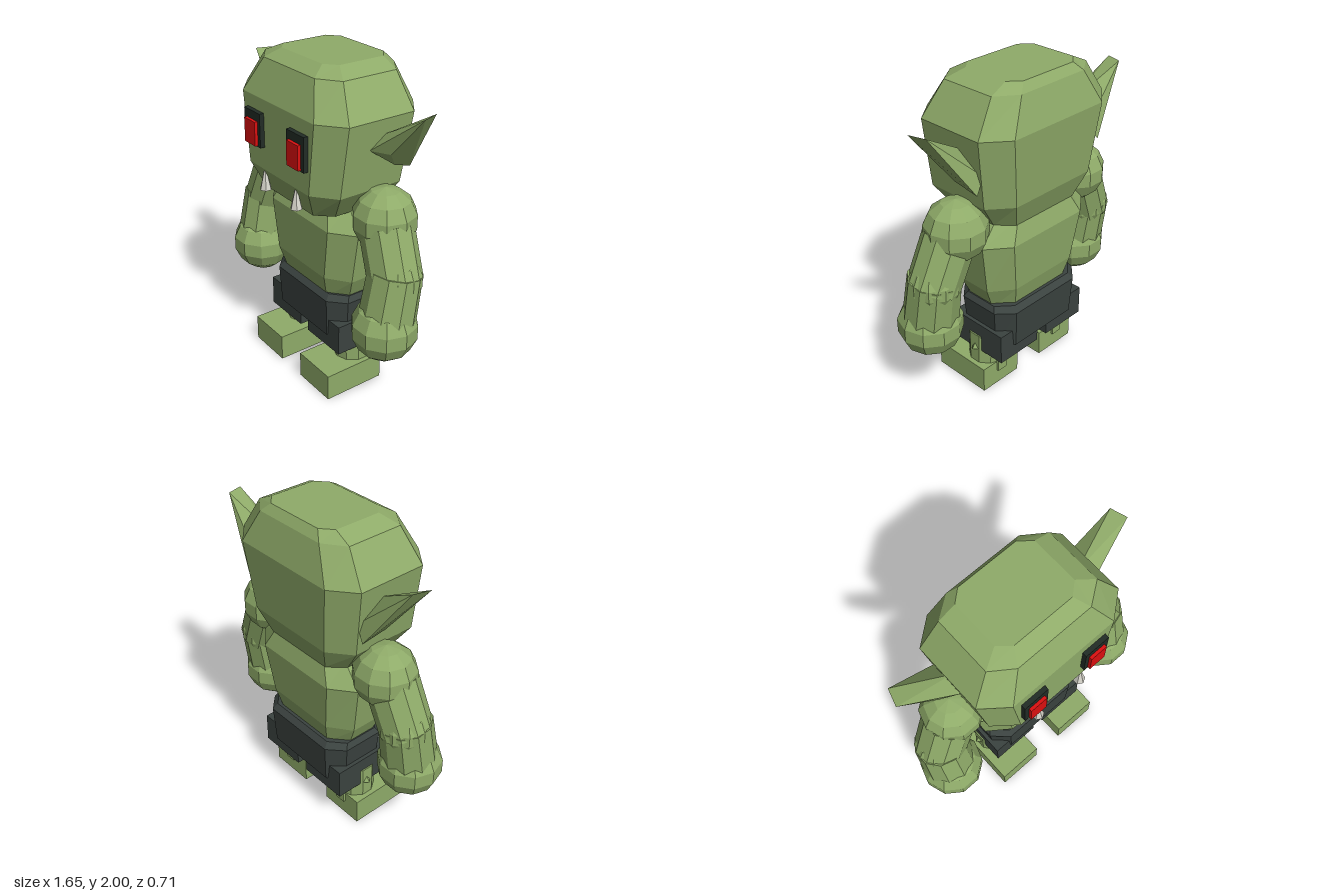
import * as THREE from 'three';
import { ConvexGeometry } from 'three/addons/geometries/ConvexGeometry.js';

const mat = (name, color, flatShading = true) => {
  const m = new THREE.MeshStandardMaterial({ color, flatShading });
  m.name = name;
  return m;
};

// Eight-sided cross-section: half width, front flat half, front z, back z, corner cut in z
const ring = ([y, hx, fx, zf, zb, cut]) => [
  [-fx, y, zf], [fx, y, zf], [hx, y, zf - cut], [hx, y, zb + cut],
  [fx, y, zb], [-fx, y, zb], [-hx, y, zb + cut], [-hx, y, zf - cut],
];

// Joins rings from bottom to top and caps both ends
function loft(sections) {
  const rings = sections.map(ring);
  const pos = rings.flat(2);
  const index = [];
  const last = (rings.length - 1) * 8;
  for (let r = 0; r < last; r += 8) {
    for (let i = 0; i < 8; i++) {
      const j = (i + 1) % 8;
      index.push(r + i, r + j, r + 8 + j, r + i, r + 8 + j, r + 8 + i);
    }
  }
  for (let i = 1; i < 7; i++) {
    index.push(0, i + 1, i);
    index.push(last, last + i, last + i + 1);
  }
  const g = new THREE.BufferGeometry();
  g.setAttribute('position', new THREE.Float32BufferAttribute(pos, 3));
  g.setIndex(index);
  const flat = g.toNonIndexed();
  flat.computeVertexNormals();
  return flat;
}

export function createModel() {
  const root = new THREE.Group();
  root.name = 'goblin';
  const skin = mat('green skin', 0x8fab69);
  const cloth = mat('dark cloth', 0x3b4340);
  const socket = mat('eye socket', 0x222c26);
  const red = mat('red eye', 0xdc1010);
  const ivory = mat('tusk ivory', 0xd8d6cc);

  const add = (name, geometry, material, x = 0, y = 0, z = 0) => {
    const m = new THREE.Mesh(geometry, material);
    m.name = name;
    m.position.set(x, y, z);
    root.add(m);
    return m;
  };
  const box = (name, material, x0, x1, y0, y1, z0, z1) =>
    add(name, new THREE.BoxGeometry(x1 - x0, y1 - y0, z1 - z0), material,
      (x0 + x1) / 2, (y0 + y1) / 2, (z0 + z1) / 2);
  // Ten-sided limb running between two points
  const limb = (name, a, b, ra, rb) => {
    const p = new THREE.Vector3(...a), q = new THREE.Vector3(...b);
    const d = q.clone().sub(p);
    const m = add(name, new THREE.CylinderGeometry(rb, ra, d.length(), 10), skin);
    m.position.copy(p).add(q).multiplyScalar(0.5);
    m.quaternion.setFromUnitVectors(new THREE.Vector3(0, 1, 0), d.normalize());
  };

  // Head, torso and waist
  add('head', loft([
    [1.17, 0.32, 0.235, 0.24, -0.26, 0.09],
    [1.33, 0.43, 0.295, 0.31, -0.32, 0.11],
    [1.75, 0.49, 0.345, 0.31, -0.355, 0.117],
    [1.95, 0.365, 0.24, 0.23, -0.3, 0.09],
    [2.0, 0.26, 0.19, 0.145, -0.265, 0.06],
  ]), skin);
  add('torso', loft([
    [0.58, 0.3, 0.2, 0.12, -0.22, 0.09],
    [0.74, 0.37, 0.235, 0.165, -0.26, 0.1],
    [1.06, 0.42, 0.28, 0.175, -0.29, 0.11],
    [1.2, 0.3, 0.21, 0.12, -0.25, 0.08],
  ]), skin);
  add('shortsWaist', loft([
    [0.34, 0.32, 0.24, 0.15, -0.265, 0.09],
    [0.585, 0.345, 0.25, 0.16, -0.28, 0.09],
    [0.62, 0.325, 0.235, 0.13, -0.25, 0.08],
  ]), cloth);

  for (const s of [-1, 1]) {
    const side = s > 0 ? 'left' : 'right';
    const sideBox = (name, m, x0, x1, ...rest) =>
      box(side + name, m, Math.min(s * x0, s * x1), Math.max(s * x0, s * x1), ...rest);

    // Eyes and tusks
    sideBox('EyeSocket', socket, 0.132, 0.292, 1.468, 1.67, 0.3, 0.338);
    sideBox('Eye', red, 0.157, 0.265, 1.476, 1.62, 0.33, 0.357);
    add(side + 'Tusk', new THREE.CylinderGeometry(0.008, 0.036, 0.115, 6), ivory,
      s * 0.157, 1.255, 0.297);

    // Ear, a curved wedge sweeping up to a blunt tip
    const ear = [
      [0.78, 1.83, -0.05], [0.75, 1.83, -0.15], [0.44, 1.64, -0.06], [0.46, 1.58, 0.035],
      [0.57, 1.58, -0.02], [0.52, 1.49, -0.09], [0.49, 1.44, -0.225], [0.42, 1.52, -0.2],
    ].map(([x, y, z]) => new THREE.Vector3(s * x, y, z));
    add(side + 'Ear', new ConvexGeometry(ear), skin);

    // Arm
    const ball = (r) => new THREE.SphereGeometry(r, 10, 7);
    add(side + 'Shoulder', ball(0.188), skin, s * 0.495, 1.175, -0.055);
    limb(side + 'UpperArm', [s * 0.65, 0.85, -0.02], [s * 0.53, 1.14, -0.04], 0.155, 0.155);
    limb(side + 'Forearm', [s * 0.64, 0.57, 0.035], [s * 0.64, 0.92, -0.025], 0.168, 0.155);
    add(side + 'Elbow', ball(0.155), skin, s * 0.64, 0.88, -0.025);
    add(side + 'Hand', ball(0.196), skin, s * 0.635, 0.573, 0.037);

    // Leg, foot and shorts leg
    sideBox('ShortsLeg', cloth, 0.04, 0.355, 0.26, 0.45, -0.255, 0.145);
    limb(side + 'Leg', [s * 0.255, 0.14, -0.035], [s * 0.245, 0.36, -0.035], 0.115, 0.125);
    sideBox('Foot', skin, 0.102, 0.395, 0, 0.165, -0.145, 0.25);

    // Small spurs on the outside and back of the leg
    add(side + 'OuterSpur', new THREE.ConeGeometry(0.065, 0.09, 4), skin, s * 0.325, 0.31, -0.04);
    add(side + 'HeelSpur', new THREE.BoxGeometry(0.07, 0.16, 0.03), skin, s * 0.25, 0.18, -0.145);
  }
  return root;
}
